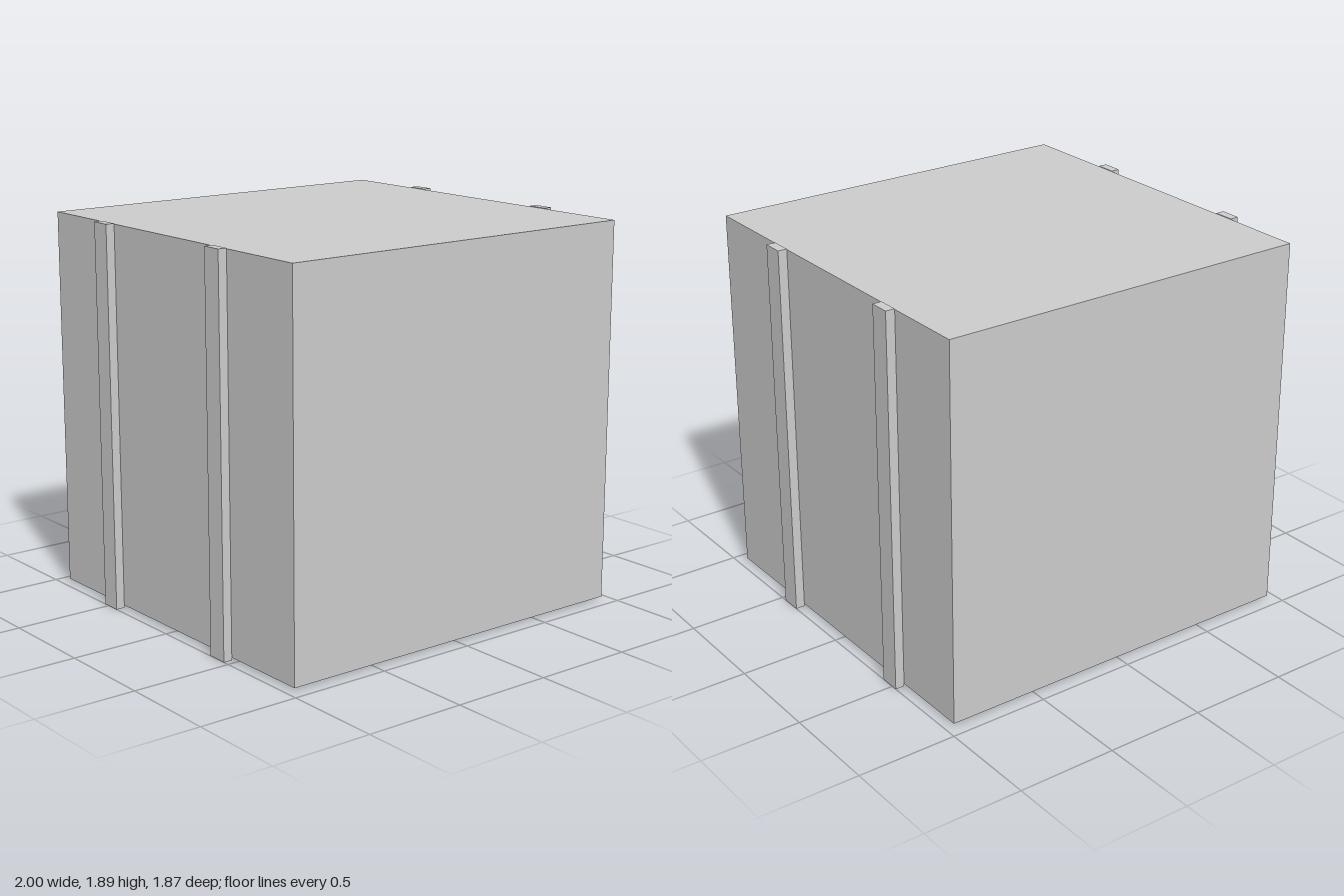
import * as THREE from 'three';

export function createModel() {
  const group = new THREE.Group();
  const material = new THREE.MeshStandardMaterial({ color: 0xcccccc, flatShading: true });

  // Box given by its minimum and maximum corners
  function addBox(name, [x0, y0, z0], [x1, y1, z1]) {
    const mesh = new THREE.Mesh(new THREE.BoxGeometry(x1 - x0, y1 - y0, z1 - z0), material);
    mesh.position.set((x0 + x1) / 2, (y0 + y1) / 2, (z0 + z1) / 2);
    mesh.name = name;
    group.add(mesh);
  }

  // Main crate body, raised slightly off the ground
  addBox('crateBody', [-0.956, 0.013, -0.935], [0.954, 1.885, 0.935]);

  // Two upright battens on each side, standing on the ground
  for (const [place, z0, z1] of [['Front', 0.364, 0.468], ['Back', -0.53, -0.428]]) {
    addBox(`left${place}Batten`, [0.954, 0, z0], [1, 1.888, z1]);
    addBox(`right${place}Batten`, [-1, 0, z0], [-0.956, 1.888, z1]);
  }
  return group;
}
